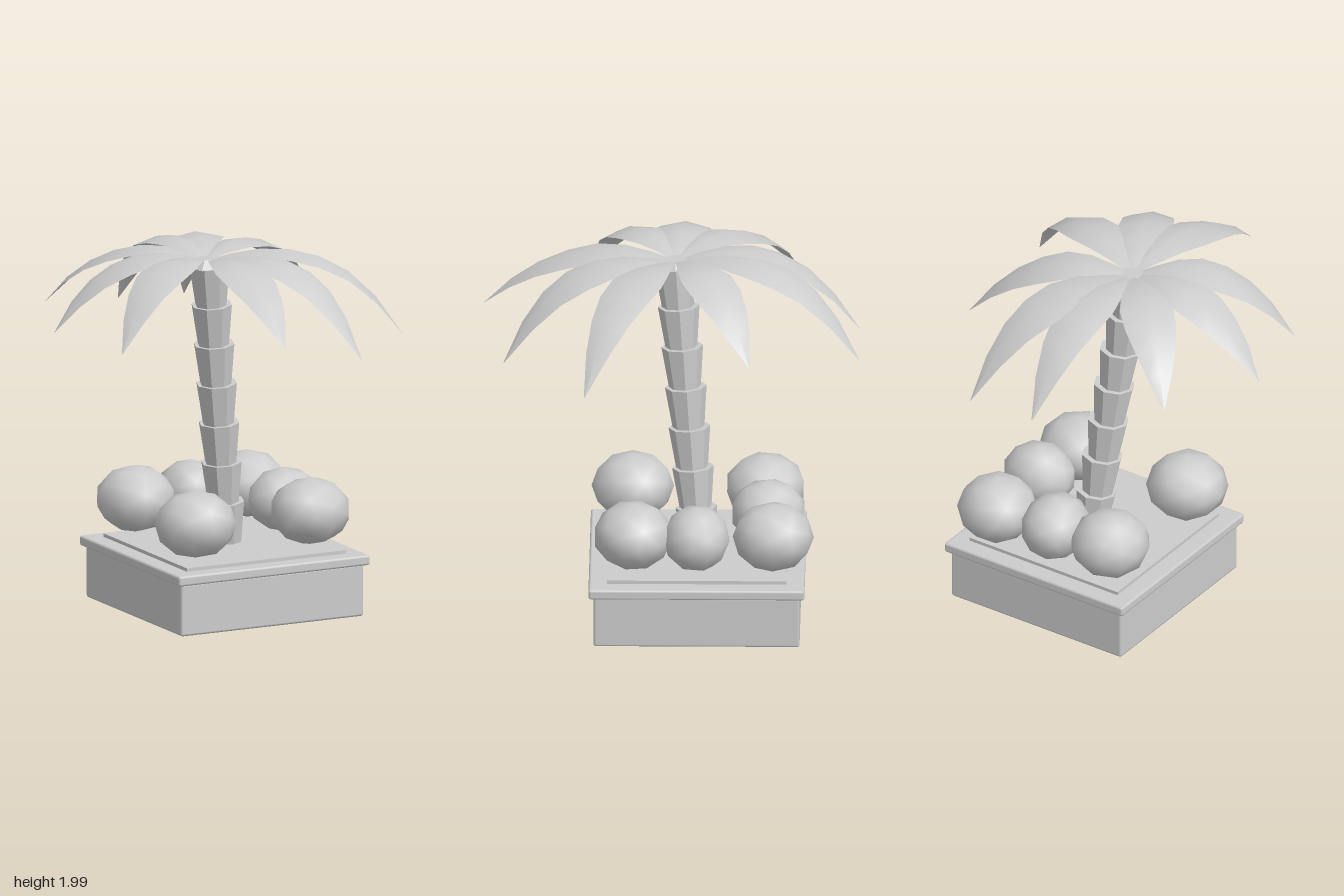
import * as THREE from 'three';
import { RoundedBoxGeometry } from 'three/addons/geometries/RoundedBoxGeometry.js';

const grey = new THREE.MeshStandardMaterial({ color: 0xcccccc });
grey.name = 'plain grey';
grey.side = THREE.DoubleSide;
const facetGrey = grey.clone();
facetGrey.flatShading = true;

function addMesh(parent, name, geometry, material, x = 0, y = 0, z = 0) {
  const mesh = new THREE.Mesh(geometry, material);
  mesh.name = name;
  mesh.position.set(x, y, z);
  parent.add(mesh);
  return mesh;
}

// Folded leaf running from base to tip: three points per cross-section.
function frondGeometry(base, tip) {
  // [distance along leaf, rise as a share of the arch, half width, edge drop]
  const sections = [
    [0, 0, 0.01, 0], [0.12, 0.033, 0.05, 0.005], [0.27, 0.062, 0.105, 0.02],
    [0.42, 0.06, 0.143, 0.03], [0.57, 0.025, 0.138, 0.035], [0.72, -0.05, 0.108, 0.03],
    [0.86, -0.17, 0.065, 0.02], [1, -0.35, 0.002, 0],
  ];
  const along = new THREE.Vector3(tip.x - base.x, 0, tip.z - base.z);
  const side = new THREE.Vector3(along.z, 0, -along.x).normalize();
  const fall = (base.y - tip.y) / 0.35;
  const points = [], index = [];
  sections.forEach(([t, rise, half, drop], i) => {
    const lift = rise > 0 ? rise : rise * fall;
    for (const s of [-1, 0, 1]) {
      const p = base.clone().addScaledVector(along, t).addScaledVector(side, s * half);
      points.push(p.x, p.y + lift - Math.abs(s) * drop, p.z);
    }
    if (i === 0) return;
    for (const k of [0, 1]) {
      const a = (i - 1) * 3 + k, b = a + 3;
      index.push(a, a + 1, b, a + 1, b + 1, b);
    }
  });
  const geometry = new THREE.BufferGeometry();
  geometry.setAttribute('position', new THREE.Float32BufferAttribute(points, 3));
  geometry.setIndex(index);
  geometry.computeVertexNormals();
  return geometry;
}

export function createModel() {
  const model = new THREE.Group();
  model.name = 'pottedPalm';

  // Square planter with a rim and a raised soil slab
  const planter = new THREE.Group();
  planter.name = 'planter';
  planter.position.set(0.139, 0, -0.139);
  model.add(planter);
  addMesh(planter, 'planterBox', new RoundedBoxGeometry(1.096, 0.285, 1.096, 1, 0.014), grey, 0, 0.1425, 0);
  addMesh(planter, 'planterRim', new RoundedBoxGeometry(1.148, 0.055, 1.148, 1, 0.013), grey, 0, 0.307, 0);
  addMesh(planter, 'soil', new THREE.BoxGeometry(0.954, 0.03, 0.954), grey, 0, 0.338, 0);

  // Leaning trunk of stacked flared segments
  const trunk = new THREE.Group();
  trunk.name = 'trunk';
  model.add(trunk);
  const count = 7, step = 0.2205;
  for (let i = 0; i < count; i++) {
    const segment = new THREE.CylinderGeometry(0.111, 0.084, step + 0.012, 8);
    const mesh = addMesh(trunk, 'trunkSegment', segment, facetGrey,
      0.139 - i * 0.0247, 0.354 + step * (i + 0.5), -0.14 + i * 0.0192);
    mesh.rotation.set(0.06, 0.06, 0.08);
  }
  addMesh(trunk, 'trunkCrown', new THREE.CylinderGeometry(0.06, 0.105, 0.05, 8), facetGrey, -0.025, 1.915, -0.02);

  // Rounded boulders: centre x, y, z, then half sizes x, y, z
  const boulders = [
    [-0.22, 0.556, 0.21, 0.215, 0.178, 0.215],
    [0.472, 0.556, 0.2, 0.215, 0.178, 0.21],
    [0.495, 0.55, -0.137, 0.2, 0.172, 0.176],
    [0.485, 0.556, -0.545, 0.21, 0.18, 0.212],
    [0.13, 0.552, -0.515, 0.176, 0.174, 0.2],
    [-0.21, 0.556, -0.495, 0.21, 0.178, 0.212],
  ];
  boulders.forEach(([x, y, z, a, b, c], i) => {
    const geometry = new THREE.IcosahedronGeometry(1.02, 1);
    geometry.rotateY(i * 0.7);
    geometry.scale(a, b, c);
    addMesh(model, 'boulder', geometry, grey, x, y, z);
  });

  // Nine arching fronds, given by their tips
  const fronds = new THREE.Group();
  fronds.name = 'fronds';
  model.add(fronds);
  const base = new THREE.Vector3(-0.03, 1.925, -0.02);
  const tips = [
    [-0.05, 1.53, -1], [0.345, 1.515, -1], [0.75, 1.635, -0.42],
    [0.9, 1.52, 0.455], [0.42, 1.52, 0.89], [-0.095, 1.655, 1],
    [-0.77, 1.58, 0.42], [-0.9, 1.61, -0.105], [-0.67, 1.64, -0.66],
  ];
  for (const tip of tips) {
    addMesh(fronds, 'frond', frondGeometry(base, new THREE.Vector3(...tip)), grey);
  }
  return model;
}
